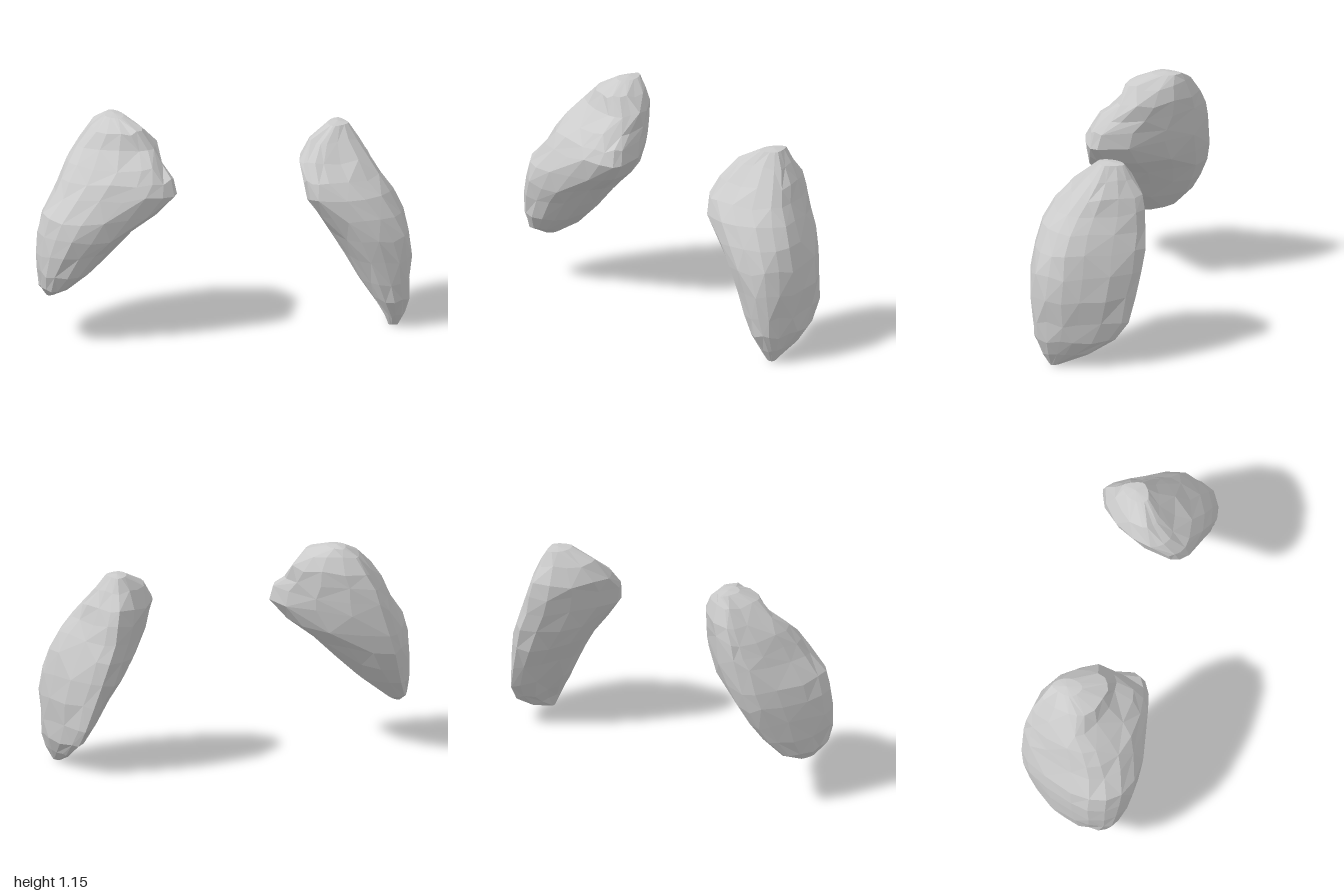
import * as THREE from 'three';

const SEG = 16;

// Each row is a level slice: y, xMin, xMax, zBack, zFront, x of back point, x of front point, z of inner point
const leftRows = [
  [0.00, 0.87, 0.92, 0.15, 0.20, 0.90, 0.90, 0.18],
  [0.06, 0.845, 0.955, 0.00, 0.24, 0.90, 0.90, 0.17],
  [0.15, 0.79, 0.985, -0.14, 0.285, 0.87, 0.88, 0.12],
  [0.25, 0.73, 0.99, -0.21, 0.30, 0.85, 0.86, 0.08],
  [0.38, 0.65, 1.00, -0.24, 0.315, 0.82, 0.83, 0.06],
  [0.50, 0.575, 0.99, -0.27, 0.325, 0.78, 0.79, 0.06],
  [0.62, 0.50, 0.96, -0.275, 0.315, 0.74, 0.72, 0.10],
  [0.72, 0.435, 0.91, -0.27, 0.29, 0.71, 0.63, 0.17],
  [0.81, 0.42, 0.855, -0.265, 0.24, 0.69, 0.54, 0.16],
  [0.89, 0.42, 0.81, -0.245, 0.16, 0.68, 0.53, 0.06],
  [0.98, 0.48, 0.75, -0.19, 0.07, 0.67, 0.56, 0.00],
  [1.05, 0.59, 0.70, -0.15, 0.00, 0.66, 0.62, -0.06],
];
const rightRows = [
  [0.235, -0.94, -0.89, 0.00, 0.10, -0.92, -0.92, 0.05],
  [0.285, -0.975, -0.82, -0.13, 0.21, -0.91, -0.90, 0.08],
  [0.38, -0.99, -0.70, -0.21, 0.255, -0.87, -0.86, 0.07],
  [0.48, -0.995, -0.59, -0.26, 0.285, -0.84, -0.80, 0.07],
  [0.58, -0.985, -0.48, -0.305, 0.305, -0.81, -0.74, 0.09],
  [0.68, -0.965, -0.35, -0.322, 0.305, -0.78, -0.67, 0.14],
  [0.79, -0.89, -0.26, -0.325, 0.28, -0.75, -0.56, 0.18],
  [0.86, -0.85, -0.275, -0.325, 0.25, -0.72, -0.49, 0.16],
  [0.93, -0.81, -0.315, -0.315, 0.19, -0.70, -0.45, 0.06],
  [1.01, -0.75, -0.335, -0.295, 0.10, -0.66, -0.45, -0.02],
  [1.09, -0.67, -0.40, -0.26, 0.065, -0.61, -0.48, -0.05],
  [1.14, -0.59, -0.49, -0.22, -0.06, -0.55, -0.53, -0.13],
];

// Repeatable pseudo-random value from -1 to 1
function seeded(seed) {
  let s = seed;
  return () => {
    s = (s * 16807) % 2147483647;
    return (s / 2147483647) * 2 - 1;
  };
}

// Roundness of each quarter of a slice: below 1 is full, above 1 is cut off
function roundness(inner, front, r) {
  if (inner) return front ? 0.95 : 1.15;
  return front ? 0.65 + 0.055 * r : 1.42;
}

// Lofts the slices into a closed, faceted stone
function stone(name, rows, innerSide, seed) {
  const rand = seeded(seed);
  const pos = [];
  const index = [];
  rows.forEach(([y, x0, x1, z0, z1, xb, xf, zi], r) => {
    const end = r === 0 || r === rows.length - 1;
    const zo = z0 + (z1 - z0) * 0.65;
    const wobble = end ? 0 : 0.006;
    for (let i = 0; i < SEG; i++) {
      const a = (i / SEG) * Math.PI * 2;
      const c = Math.cos(a);
      const s = Math.sin(a);
      const inner = c * innerSide > 0;
      const xMid = s > 0 ? xf : xb;
      const zMid = inner ? zi : zo;
      const p = roundness(inner, s > 0, r);
      const x = xMid + (c > 0 ? x1 - xMid : x0 - xMid) * Math.abs(c) ** p;
      const z = zMid + (s > 0 ? z1 - zMid : z0 - zMid) * Math.abs(s) ** p;
      pos.push(x + rand() * wobble, y + rand() * wobble * 2, z + rand() * wobble);
    }
  });
  // Walls between neighbouring slices, with alternating diagonals
  for (let r = 0; r < rows.length - 1; r++) {
    for (let i = 0; i < SEG; i++) {
      const a = r * SEG + i;
      const b = r * SEG + ((i + 1) % SEG);
      const c = a + SEG;
      const d = b + SEG;
      if ((r + i) % 2) index.push(a, c, d, a, d, b);
      else index.push(a, c, b, b, c, d);
    }
  }
  // End caps
  [0, rows.length - 1].forEach((r) => {
    const [y, x0, x1, z0, z1] = rows[r];
    const mid = pos.length / 3;
    pos.push((x0 + x1) / 2, r ? y + 0.008 : y, (z0 + z1) / 2);
    for (let i = 0; i < SEG; i++) {
      const a = r * SEG + i;
      const b = r * SEG + ((i + 1) % SEG);
      if (r) index.push(mid, b, a);
      else index.push(mid, a, b);
    }
  });
  const indexed = new THREE.BufferGeometry();
  indexed.setAttribute('position', new THREE.Float32BufferAttribute(pos, 3));
  indexed.setIndex(index);
  const geo = indexed.toNonIndexed();
  geo.computeVertexNormals();
  const mesh = new THREE.Mesh(geo, new THREE.MeshStandardMaterial({ color: 0xcccccc, flatShading: true }));
  mesh.name = name;
  return mesh;
}

export function createModel() {
  const group = new THREE.Group();
  group.name = 'stonePair';
  group.add(stone('leftStone', leftRows, -1, 71));
  group.add(stone('rightStone', rightRows, 1, 1234));
  return group;
}
